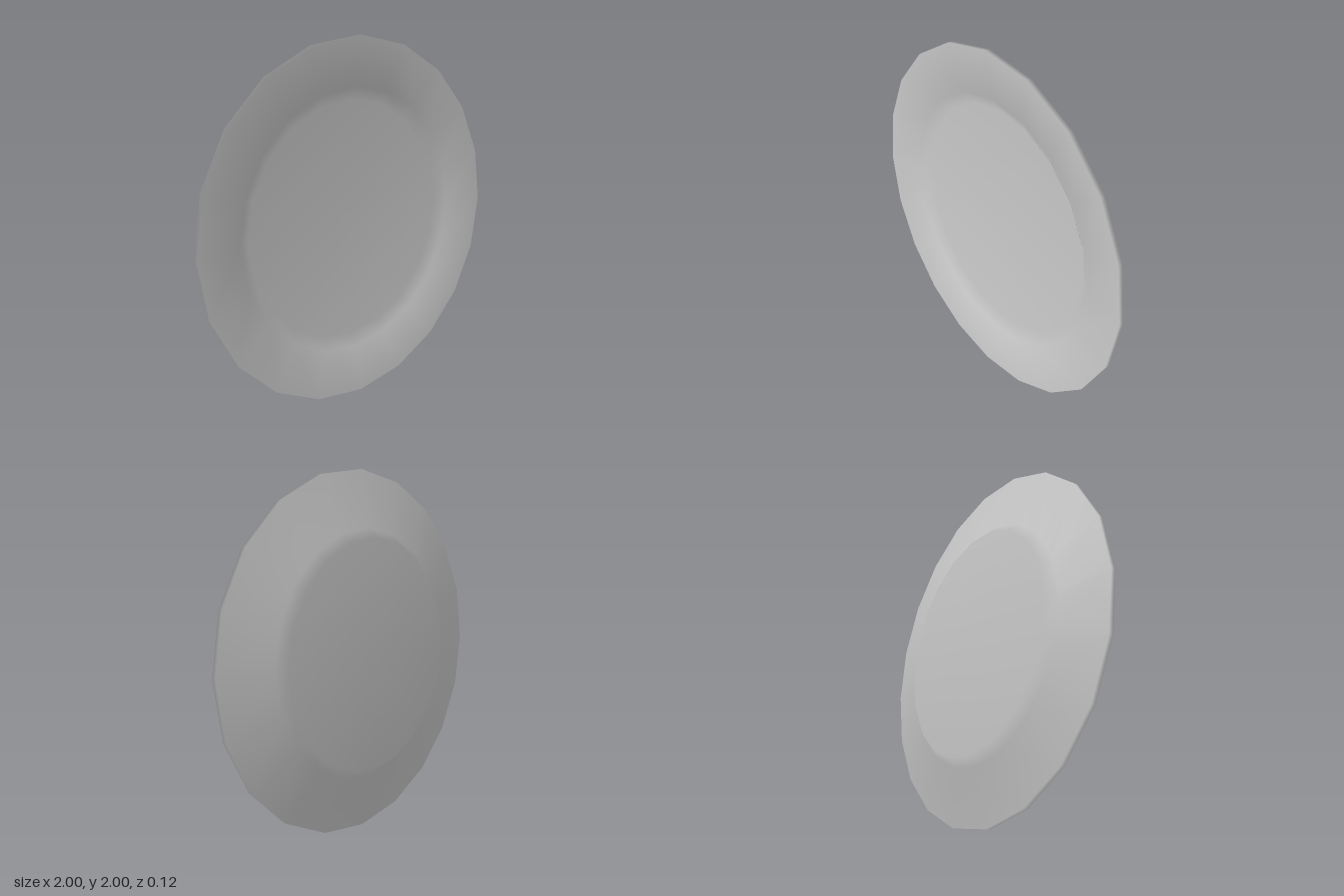
import * as THREE from 'three';

export function createModel() {
  const group = new THREE.Group();

  // Closed half-section (radius, depth): back centre, foot, rim, then the well on the front
  const profile = [
    [0, -0.06],
    [0.64, -0.06],  // foot
    [0.69, -0.015],
    [1, 0.035],     // rim edge
    [1, 0.06],
    [0.74, 0.015],  // inner edge of the rim
    [0.67, -0.03],  // well floor
    [0, -0.03],
  ].map(([r, d]) => new THREE.Vector2(r, d));

  // Twenty-sided plate standing on edge, with the well facing +z
  const geometry = new THREE.LatheGeometry(profile, 20);
  geometry.rotateX(Math.PI / 2);
  const plate = new THREE.Mesh(geometry, new THREE.MeshStandardMaterial({ color: 0xcccccc }));
  plate.name = 'plate';
  plate.position.y = 1;
  group.add(plate);

  return group;
}
